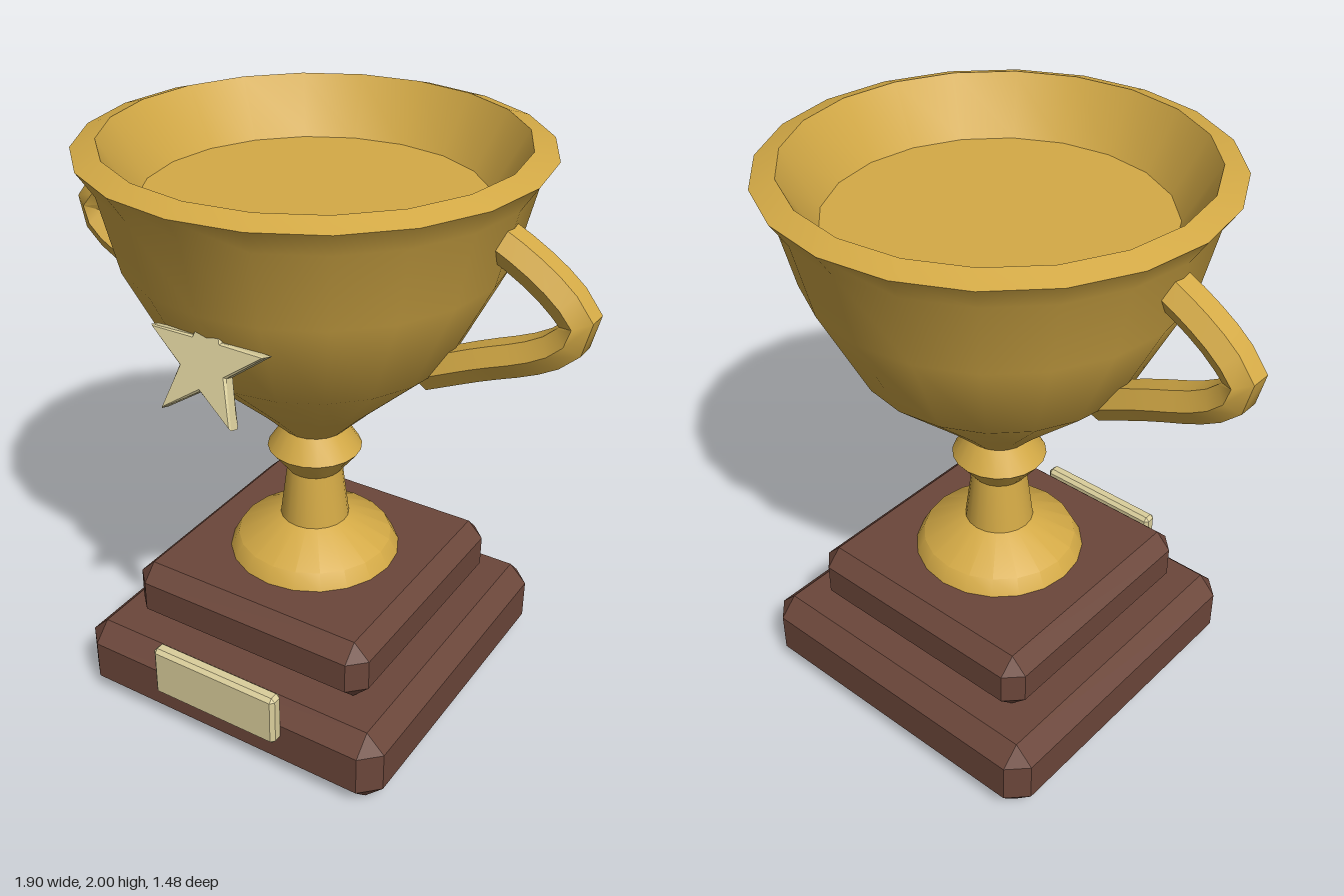
import * as THREE from 'three';
import { toCreasedNormals } from 'three/addons/utils/BufferGeometryUtils.js';
import { ConvexGeometry } from 'three/addons/geometries/ConvexGeometry.js';

const material = (name, color, side = THREE.FrontSide) => {
  const m = new THREE.MeshStandardMaterial({ color, side });
  m.name = name;
  return m;
};

// Box with every edge and corner cut by the same chamfer
function chamferedBox(w, h, d, c) {
  const points = [];
  const half = [w / 2, h / 2, d / 2];
  for (const sx of [-1, 1]) for (const sy of [-1, 1]) for (const sz of [-1, 1]) {
    for (let axis = 0; axis < 3; axis++) {
      const p = half.map((v, i) => (i === axis ? v : v - c));
      points.push(new THREE.Vector3(p[0] * sx, p[1] * sy, p[2] * sz));
    }
  }
  return new ConvexGeometry(points);
}

function starShape(outer, inner) {
  const shape = new THREE.Shape();
  for (let i = 0; i < 10; i++) {
    const r = i % 2 ? inner : outer;
    const a = Math.PI / 2 + (i * Math.PI) / 5;
    if (i) shape.lineTo(r * Math.cos(a), r * Math.sin(a));
    else shape.moveTo(r * Math.cos(a), r * Math.sin(a));
  }
  shape.closePath();
  return shape;
}

export function createModel() {
  const group = new THREE.Group();
  group.name = 'trophy';
  const gold = material('gold', 0xd4aa46, THREE.DoubleSide);
  const wood = material('dark wood', 0x6b463a);
  const cream = material('pale gold', 0xdbcf9c);

  const add = (name, geometry, mat, x = 0, y = 0, z = 0) => {
    const mesh = new THREE.Mesh(geometry, mat);
    mesh.name = name;
    mesh.position.set(x, y, z);
    group.add(mesh);
    return mesh;
  };

  // Stepped wooden base
  add('lowerBase', chamferedBox(1.2, 0.275, 1.2, 0.065), wood, 0, 0.1375, 0);
  add('upperBase', chamferedBox(0.93, 0.225, 0.93, 0.057), wood, 0, 0.3875, 0);

  // Name plate on the front of the base
  add('plaque', chamferedBox(0.49, 0.19, 0.054, 0.013), cream, 0, 0.25, 0.615);

  // Foot, stem, knop, bowl, lip and inside in one turned profile
  const profile = [
    [0.3, 0.498], [0.27, 0.555], [0.12, 0.635], [0.096, 0.825],
    [0.162, 0.91], [0.11, 0.99], [0.21, 1.09], [0.465, 1.325],
    [0.625, 1.645], [0.685, 1.895], [0.738, 1.975], [0.66, 2.0],
    [0.55, 1.81], [0, 1.81],
  ].map(([r, y]) => new THREE.Vector2(r, y));
  add('cup', toCreasedNormals(new THREE.LatheGeometry(profile, 20), 0.6), gold);

  // Six-sided looped handles, one on each side
  for (const side of [-1, 1]) {
    const path = new THREE.CatmullRomCurve3([
      [0.635, 1.8], [0.73, 1.75], [0.84, 1.672], [0.9, 1.6],
      [0.87, 1.535], [0.785, 1.475], [0.6, 1.397], [0.41, 1.31],
    ].map(([x, y]) => new THREE.Vector3(side * x, y, 0)));
    const tube = new THREE.TubeGeometry(path, 14, 0.062, 6);
    tube.scale(1, 1, 1.12);
    const handle = toCreasedNormals(tube, 0.6);
    add(side > 0 ? 'leftHandle' : 'rightHandle', handle, gold);
  }

  // Star leaning back into the bowl
  const starGeometry = new THREE.ExtrudeGeometry(starShape(0.205, 0.08), {
    depth: 0.032, bevelEnabled: true, bevelSegments: 1,
    bevelThickness: 0.008, bevelSize: 0.006, bevelOffset: 0,
  });
  starGeometry.translate(0, 0, -0.04);
  const star = add('star', starGeometry, cream, 0, 1.49, 0.605);
  star.rotation.x = -0.3;

  return group;
}
